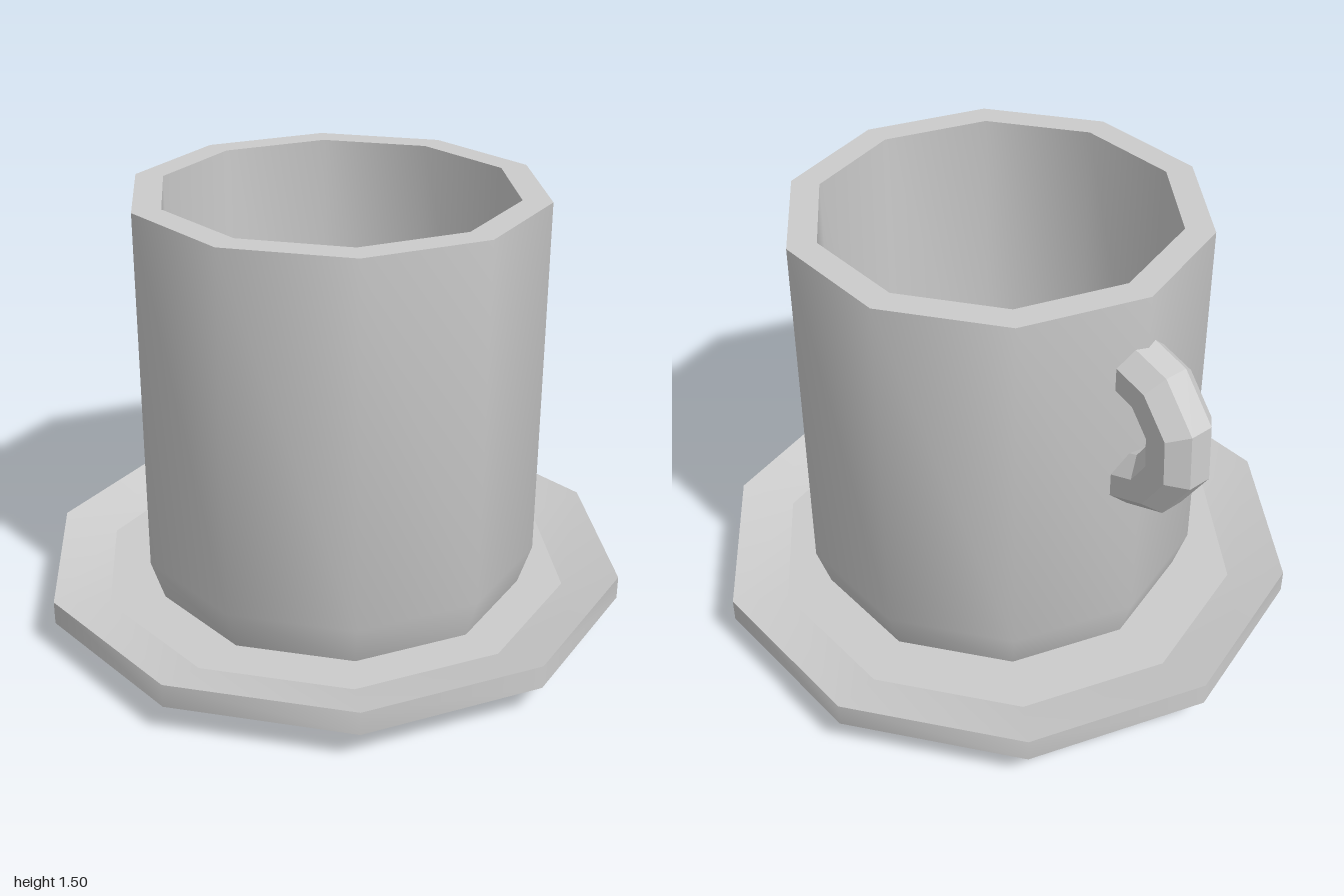
import * as THREE from 'three';
import { toCreasedNormals } from 'three/addons/utils/BufferGeometryUtils.js';

const SIDES = 10;
const grey = new THREE.MeshStandardMaterial({ color: 0xcccccc });
const facetedGrey = new THREE.MeshStandardMaterial({ color: 0xcccccc, flatShading: true, side: THREE.DoubleSide });

// Ten-sided turned part with a corner on the x axis; soft sides, sharp rims
function turned(name, profile) {
  const points = profile.map(([r, y]) => new THREE.Vector2(r, y));
  const geometry = new THREE.LatheGeometry(points, SIDES, Math.PI / 2);
  const mesh = new THREE.Mesh(toCreasedNormals(geometry, THREE.MathUtils.degToRad(40)), grey);
  mesh.name = name;
  return mesh;
}

// Half ring with an octagonal section, opening towards the cup
function makeHandle() {
  const ringRadius = 0.205, tubeRadius = 0.105;
  const section = [];
  for (let i = 0; i <= 8; i++) {
    const a = (i + 0.5) * Math.PI / 4;
    section.push(new THREE.Vector2(ringRadius + tubeRadius * Math.cos(a), tubeRadius * Math.sin(a)));
  }
  const geometry = new THREE.LatheGeometry(section, 5, THREE.MathUtils.degToRad(177), Math.PI);
  geometry.rotateX(Math.PI / 2);
  const mesh = new THREE.Mesh(geometry, facetedGrey);
  mesh.name = 'handle';
  mesh.position.set(-0.6, 1.04, 0);
  return mesh;
}

export function createModel() {
  const model = new THREE.Group();
  model.name = 'cupAndSaucer';

  // Saucer: underside, vertical edge and sloping rim, with a flat well
  const saucer = new THREE.Group();
  saucer.name = 'saucer';
  saucer.add(
    turned('saucerBody', [[0, 0], [0.62, 0.01], [0.71, 0.05], [1, 0.11], [1, 0.19], [0.81, 0.14]]),
    turned('saucerWell', [[0.81, 0.14], [0, 0.14]])
  );

  // Cup: tapered foot, straight wall, thick rim and hollow inside
  const cup = new THREE.Group();
  cup.name = 'cup';
  cup.add(
    turned('cupBody', [[0, 0.14], [0.635, 0.14], [0.68, 0.28], [0.68, 1.5], [0.585, 1.5], [0.585, 0.24], [0, 0.24]])
  );
  cup.position.x = 0.03;

  model.add(saucer, cup, makeHandle());
  return model;
}
